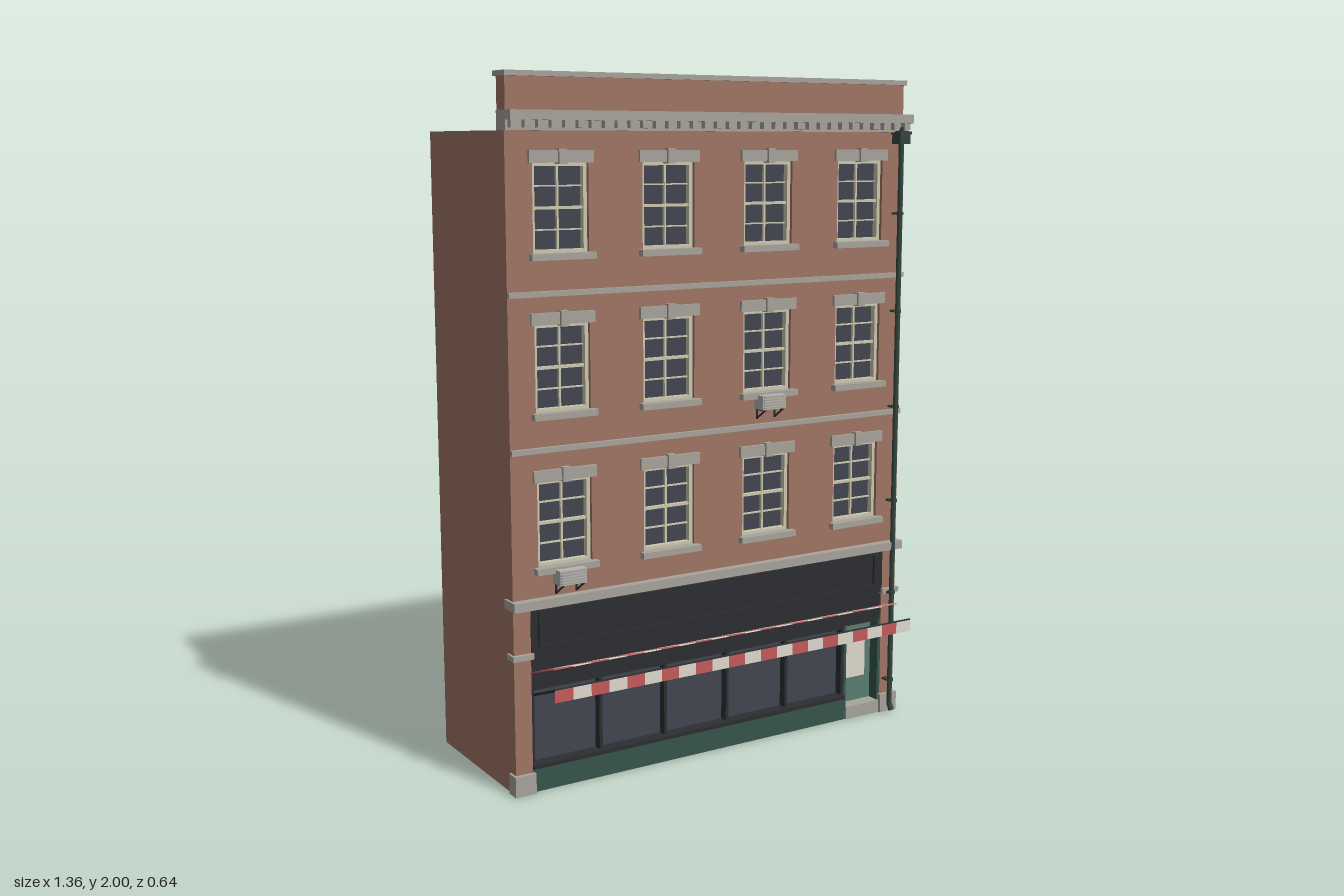
import * as THREE from 'three';

const mat = (color, side = THREE.FrontSide) => new THREE.MeshStandardMaterial({ color, side });
const brick = mat(0xa07565), stone = mat(0xa8a49c), glass = mat(0x42464f), cream = mat(0xcdc8ae);
const dark = mat(0x2c2e32), green = mat(0x36554a), doorGreen = mat(0x5a7d72), iron = mat(0x34463f);
const plaster = mat(0xd8d0c4), floorGrey = mat(0x5c5852), blind = mat(0xe0dacb), metal = mat(0xb4b4b0);
const red = mat(0xc45a5a, THREE.DoubleSide), white = mat(0xdedad0, THREE.DoubleSide);

// Box given by its limits on each axis
function box(parent, name, [x0, x1], [y0, y1], [z0, z1], material) {
  const m = new THREE.Mesh(new THREE.BoxGeometry(x1 - x0, y1 - y0, z1 - z0), material);
  m.position.set((x0 + x1) / 2, (y0 + y1) / 2, (z0 + z1) / 2);
  m.name = name;
  parent.add(m);
  return m;
}

function group(parent, name) {
  const g = new THREE.Group();
  g.name = name;
  parent.add(g);
  return g;
}

// Round bar between two points
function bar(parent, name, a, b, r, material, sides = 8) {
  const p = new THREE.Vector3(...a), q = new THREE.Vector3(...b), d = q.clone().sub(p);
  const m = new THREE.Mesh(new THREE.CylinderGeometry(r, r, d.length(), sides), material);
  m.position.copy(p).add(q).multiplyScalar(0.5);
  m.quaternion.setFromUnitVectors(new THREE.Vector3(0, 1, 0), d.normalize());
  m.name = name;
  parent.add(m);
}

const W = 0.675, FRONT = 0.17, BACK = -0.32;
const columns = [-0.51, -0.17, 0.17, 0.507], rows = [0.65, 1.083, 1.517];
const winW = 0.17, winH = 0.245;

function buildShell(root) {
  const g = group(root, 'shell');
  box(g, 'upperFloors', [-W, W], [0.54, 1.845], [BACK, 0.13], brick);
  // Front wall pierced by the windows
  const s = new THREE.Shape([[-W, 0.54], [W, 0.54], [W, 1.86], [-W, 1.86]].map(p => new THREE.Vector2(...p)));
  for (const x of columns) for (const y of rows) {
    const l = x - winW / 2, r = x + winW / 2;
    s.holes.push(new THREE.Path([[l, y], [l, y + winH], [r, y + winH], [r, y]].map(p => new THREE.Vector2(...p))));
  }
  const wall = new THREE.Mesh(new THREE.ExtrudeGeometry(s, { depth: 0.04, bevelEnabled: false }), brick);
  wall.position.z = 0.13;
  wall.name = 'frontWall';
  g.add(wall);
  for (const side of [-1, 1]) {
    const span = (a, b) => side < 0 ? [-b, -a] : [a, b];
    box(g, 'sidePier', span(0.622, W), [0, 0.54], [BACK, FRONT], brick);
    box(g, 'pierPlinth', span(0.617, 0.682), [0, 0.06], [0.14, 0.182], stone);
    box(g, 'pierCapital', span(0.617, 0.682), [0.395, 0.411], [0.14, 0.182], stone);
  }
  // Shop interior, open behind above its rear wall
  box(g, 'shopFloor', [-0.622, 0.622], [0, 0.012], [-0.31, 0.13], floorGrey);
  box(g, 'shopCeiling', [-0.622, 0.622], [0.39, 0.4], [-0.3, 0.13], floorGrey);
  box(g, 'shopRearWall', [-0.622, 0.622], [0.005, 0.4], [-0.312, -0.3], plaster);
}

function buildTrim(root) {
  const g = group(root, 'stoneTrim');
  for (const y of [0.975, 1.403]) box(g, 'stringCourse', [-W, W], [y, y + 0.015], [0.15, 0.182], stone);
  box(g, 'shopCornice', [-0.682, 0.682], [0.54, 0.566], [0.13, 0.196], stone);
  box(g, 'corniceBed', [-0.678, 0.678], [1.845, 1.875], [0.13, 0.185], stone);
  box(g, 'corniceTop', [-0.676, 0.676], [1.872, 1.898], [0.13, 0.212], stone);
  for (let i = 0; i < 34; i++) {
    const x = -0.66 + i * 0.04;
    box(g, 'dentil', [x - 0.011, x + 0.011], [1.852, 1.873], [0.18, 0.203], stone);
  }
  box(g, 'parapet', [-0.67, 0.67], [1.89, 1.988], [0.117, 0.168], brick);
  box(g, 'parapetBase', [-0.672, 0.672], [1.845, 1.898], [0.117, 0.14], stone);
  box(g, 'coping', [-W, W], [1.986, 2], [0.106, 0.178], stone);
}

function buildWindow(root, x, y) {
  const g = group(root, 'sashWindow');
  g.position.set(x, y, 0);
  const w = winW / 2, h = winH, f = 0.011;
  box(g, 'glass', [-w, w], [0, h], [0.131, 0.142], glass);
  for (const s of [-1, 1]) box(g, 'frameSide', [s * w - (s > 0 ? f : 0), s * w + (s < 0 ? f : 0)], [0, h], [0.14, 0.16], cream);
  for (const b of [0, h - f]) box(g, 'frameRail', [-w, w], [b, b + f], [0.14, 0.16], cream);
  box(g, 'meetingRail', [-w, w], [h / 2 - 0.004, h / 2 + 0.004], [0.14, 0.155], cream);
  box(g, 'middleBar', [-0.003, 0.003], [0, h], [0.14, 0.151], cream);
  for (const k of [0.26, 0.74]) box(g, 'glazingBar', [-w, w], [h * k - 0.002, h * k + 0.002], [0.14, 0.15], cream);
  box(g, 'sill', [-0.098, 0.098], [-0.016, 0.002], [0.14, 0.192], stone);
  box(g, 'lintel', [-0.098, 0.098], [h - 0.002, h + 0.031], [0.14, 0.18], stone);
  box(g, 'keystone', [-0.012, 0.012], [h - 0.006, h + 0.036], [0.14, 0.188], stone);
}

function buildShopfront(root) {
  const g = group(root, 'shopfront');
  // Sign board with a raised border
  box(g, 'signBoard', [-0.622, 0.622], [0.4, 0.54], [0.12, 0.172], dark);
  for (const y of [0.424, 0.526]) box(g, 'signBorder', [-0.6, 0.59], [y, y + 0.006], [0.17, 0.18], dark);
  for (const x of [-0.6, 0.584]) box(g, 'signBorder', [x, x + 0.006], [0.424, 0.532], [0.17, 0.18], dark);
  box(g, 'awningCassette', [-0.622, 0.622], [0.305, 0.4], [0.12, 0.165], dark);
  box(g, 'stallRiser', [-0.622, 0.477], [0, 0.072], [0.11, 0.17], green);
  box(g, 'shopSill', [-0.622, 0.477], [0.07, 0.082], [0.11, 0.178], dark);
  box(g, 'shopGlass', [-0.622, 0.477], [0.08, 0.306], [0.128, 0.14], glass);
  for (let i = 0; i <= 5; i++) {
    const x = -0.617 + i * 0.218;
    box(g, 'mullion', [x - 0.005, x + 0.005], [0.08, 0.306], [0.13, 0.165], dark);
  }
  box(g, 'shopTransom', [-0.622, 0.477], [0.298, 0.308], [0.13, 0.165], dark);
  // Door in its frame
  const d = group(g, 'entrance');
  box(d, 'doorLeaf', [0.485, 0.615], [0.04, 0.305], [0.11, 0.13], doorGreen);
  box(d, 'doorPane', [0.502, 0.587], [0.12, 0.275], [0.128, 0.135], blind);
  for (const x of [0.477, 0.612]) box(d, 'doorJamb', [x, x + 0.01], [0, 0.308], [0.1, 0.168], green);
  box(d, 'doorStep', [0.485, 0.615], [0, 0.04], [0.1, 0.175], stone);
  bar(d, 'doorHandle', [0.495, 0.15, 0.142], [0.495, 0.21, 0.142], 0.003, metal);
}

function buildAwning(root) {
  const g = group(root, 'awning');
  const n = 22, x0 = -0.625, step = 1.245 / n, inner = 0.17, outer = 0.317;
  const rise = 0.052, slope = Math.hypot(outer - inner, rise);
  for (let i = 0; i < n; i++) {
    const x = x0 + (i + 0.5) * step, m = i % 2 ? white : red;
    const canvas = new THREE.Mesh(new THREE.BoxGeometry(step, 0.003, slope), m);
    canvas.position.set(x, 0.353 + rise / 2, (inner + outer) / 2);
    canvas.rotation.x = -Math.atan2(rise, outer - inner);
    canvas.name = 'canvasStripe';
    g.add(canvas);
    box(g, 'valanceStripe', [x - step / 2, x + step / 2], [0.31, 0.345], [outer - 0.002, outer + 0.002], m);
  }
  bar(g, 'frontBar', [x0, 0.345, outer - 0.003], [x0 + 1.245, 0.345, outer - 0.003], 0.004, dark);
  for (const x of [x0 + 0.01, x0 + 1.235]) bar(g, 'awningArm', [x, 0.288, inner], [x, 0.345, outer], 0.004, dark);
}

function buildDrainpipe(root) {
  const g = group(root, 'drainpipe'), x = 0.645, z = 0.193;
  bar(g, 'pipe', [x, 0.025, z], [x, 1.86, z], 0.008, iron, 12);
  bar(g, 'pipeShoe', [x, 0.03, z], [x, 0.01, z + 0.012], 0.009, iron, 12);
  box(g, 'hopper', [x - 0.019, x + 0.019], [1.81, 1.845], [0.172, 0.212], iron);
  box(g, 'hopperRim', [x - 0.022, x + 0.022], [1.838, 1.848], [0.17, 0.215], iron);
  for (const y of [0.11, 0.4, 0.7, 1.0, 1.3, 1.6]) {
    bar(g, 'pipeCollar', [x, y - 0.005, z], [x, y + 0.005, z], 0.011, iron, 12);
    box(g, 'pipeBracket', [x - 0.014, x + 0.014], [y - 0.003, y + 0.003], [0.168, 0.193], iron);
  }
}

function buildCooler(root, x, y) {
  const g = group(root, 'airConditioner');
  g.position.set(x, y, 0);
  box(g, 'casing', [-0.042, 0.042], [0, 0.042], [0.175, 0.218], metal);
  for (let i = 0; i < 5; i++) box(g, 'louvre', [-0.038, 0.038], [0.004 + i * 0.008, 0.008 + i * 0.008], [0.217, 0.223], stone);
  for (const s of [-0.032, 0.032]) {
    bar(g, 'bracketShelf', [s, -0.002, 0.168], [s, -0.002, 0.218], 0.003, dark, 6);
    bar(g, 'bracketUpright', [s, -0.032, 0.173], [s, 0, 0.173], 0.003, dark, 6);
    bar(g, 'bracketBrace', [s, -0.03, 0.173], [s, -0.002, 0.215], 0.003, dark, 6);
  }
}

export function createModel() {
  const root = new THREE.Group();
  root.name = 'shopBuilding';
  buildShell(root);
  buildTrim(root);
  for (const x of columns) for (const y of rows) buildWindow(root, x, y);
  buildShopfront(root);
  buildAwning(root);
  buildDrainpipe(root);
  buildCooler(root, -0.51, 0.603);
  buildCooler(root, 0.165, 1.037);
  return root;
}
